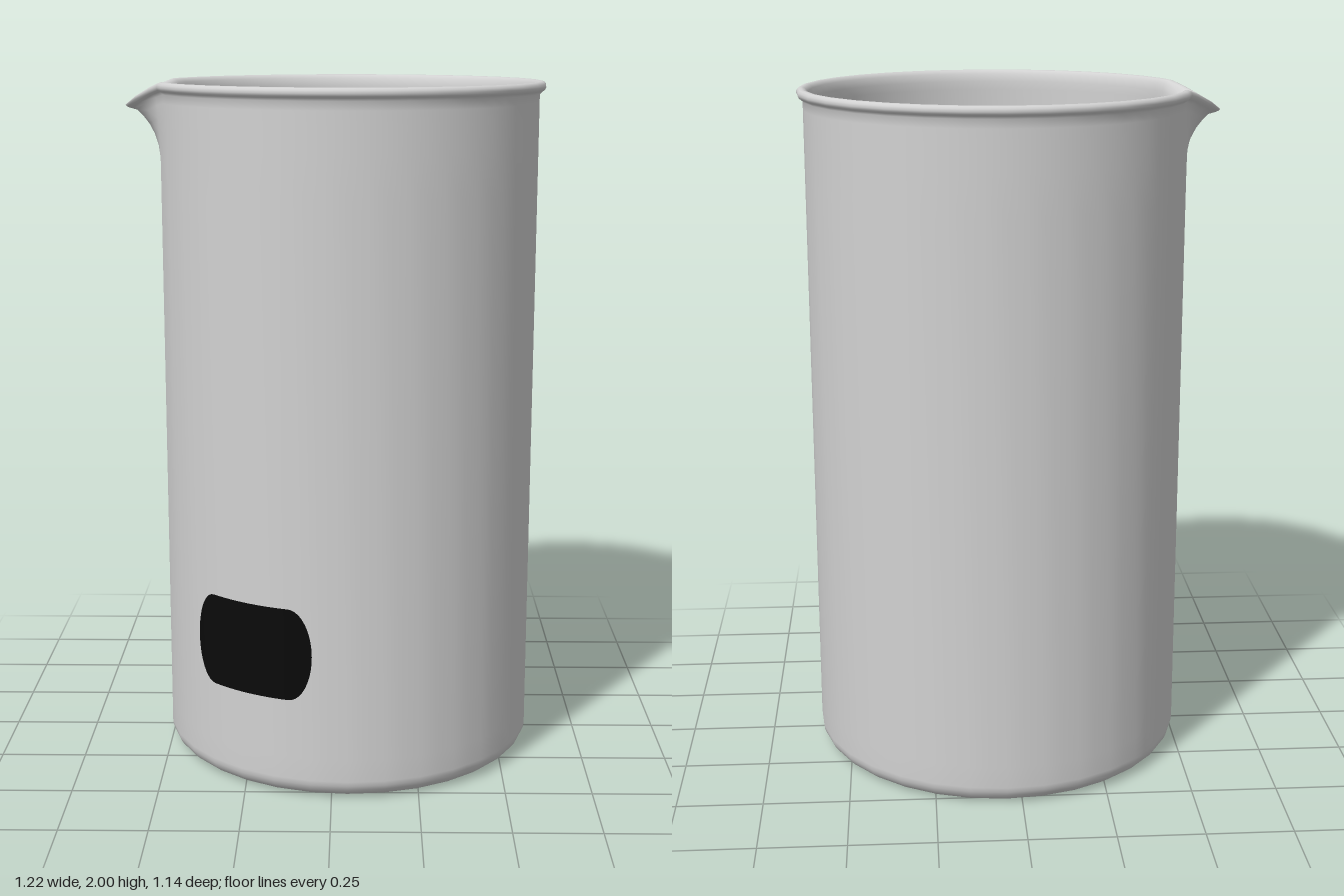
import * as THREE from 'three';
import { mergeVertices } from 'three/addons/utils/BufferGeometryUtils.js';

const CENTRE_X = 0.045;
const SEGMENTS = 64; // 32 wall facets, each split once so the spout can bend
const DEG = Math.PI / 180;

// Spout push and drop, by columns away from the tip
const PUSH = [0.09, 0.06, 0.014];
const DROP = [0.068, 0.042, 0.013];

// Half section: underside, outer wall, rolled rim, inner wall, floor
function profile() {
  const points = [[0, 0], [0.3, 0], [0.48, 0]];
  const arc = (cx, cy, r, from, to, steps) => {
    for (let i = 0; i <= steps; i++) {
      const a = (from + (to - from) * i / steps) * DEG;
      points.push([cx + r * Math.cos(a), cy + r * Math.sin(a)]);
    }
  };
  arc(0.498, 0.055, 0.055, -90, 0, 6);
  for (const y of [0.12, 1.7, 1.78, 1.82, 1.86, 1.9, 1.94, 1.965]) points.push([0.553, y]);
  arc(0.557, 1.986, 0.014, -70, 90, 5);
  points.push([0.548, 1.998], [0.538, 1.988]);
  for (const y of [1.965, 1.94, 1.9, 1.86, 1.82, 1.78, 1.7, 0.14]) points.push([0.533, y]);
  arc(0.473, 0.085, 0.06, 0, -90, 6);
  points.push([0.45, 0.025], [0.3, 0.025], [0, 0.025]);
  return points.map(([x, y]) => new THREE.Vector2(x, y));
}

function vesselGeometry() {
  const points = profile();
  const lathe = new THREE.LatheGeometry(points, SEGMENTS);
  const pos = lathe.attributes.position;
  const spoutColumn = SEGMENTS * 3 / 4; // faces -x
  for (let i = 0; i < pos.count; i++) {
    const column = Math.floor(i / points.length);
    const { x: r, y } = points[i % points.length];
    const angle = column / SEGMENTS * Math.PI * 2;
    const away = Math.abs(column - spoutColumn);
    const t = Math.max(0, (y - 1.75) / 0.25) ** 2;
    // Odd columns lie on the flat of each facet
    const radius = r * (column % 2 ? Math.cos(Math.PI / 32) : 1) + (PUSH[away] ?? 0) * t;
    pos.setXYZ(i, radius * Math.sin(angle), y - (DROP[away] ?? 0) * t, radius * Math.cos(angle));
  }
  // Weld the seam so shading stays smooth all round
  lathe.deleteAttribute('uv');
  lathe.deleteAttribute('normal');
  const geometry = mergeVertices(lathe);
  geometry.computeVertexNormals();
  return geometry;
}

// Barrel-shaped patch wrapped round the wall
function labelGeometry() {
  const geometry = new THREE.PlaneGeometry(2, 2, 24, 20);
  const pos = geometry.attributes.position;
  for (let i = 0; i < pos.count; i++) {
    const v = pos.getY(i) * Math.PI / 2;
    const angle = (-30.5 + pos.getX(i) * (13 + 7.2 * Math.cos(v))) * DEG;
    pos.setXYZ(i, 0.557 * Math.sin(angle), 0.43 + 0.135 * Math.sin(v), 0.557 * Math.cos(angle));
  }
  geometry.computeVertexNormals();
  return geometry;
}

export function createModel() {
  const glass = new THREE.MeshStandardMaterial({ color: 0xd2d2d2 });
  glass.name = 'pale grey glass';
  const black = new THREE.MeshStandardMaterial({ color: 0x0a0a0a });
  black.name = 'black print';

  const beaker = new THREE.Group();
  beaker.name = 'beaker';
  const add = (name, geometry, material) => {
    const mesh = new THREE.Mesh(geometry, material);
    mesh.name = name;
    mesh.position.x = CENTRE_X;
    beaker.add(mesh);
  };
  add('vesselWithSpout', vesselGeometry(), glass);
  add('label', labelGeometry(), black);
  return beaker;
}
